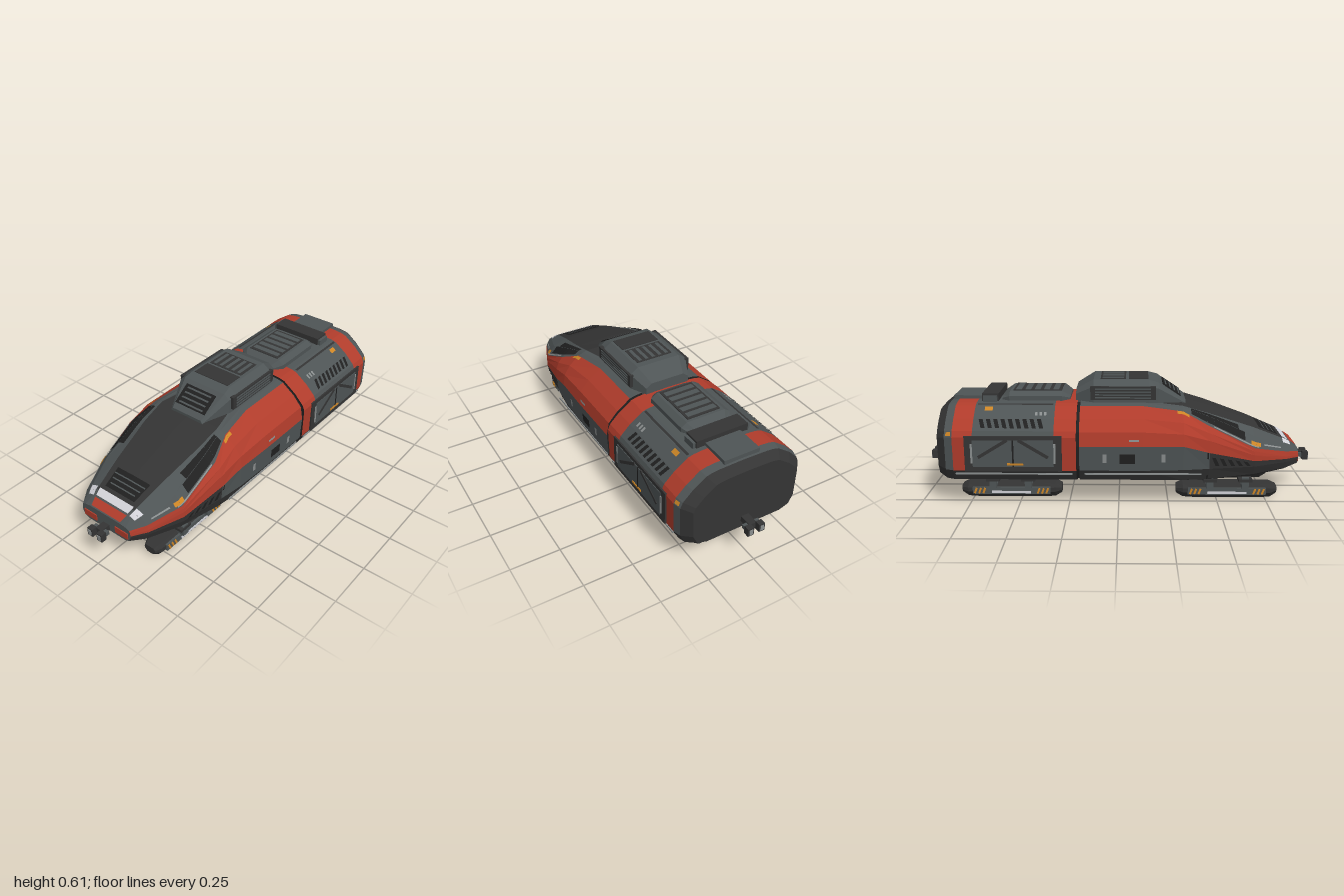
import * as THREE from 'three';

const mat = (name, color) => Object.assign(new THREE.MeshStandardMaterial({ color }), { name });
const M = {
  red: mat('signal red', 0xb03c2b), slate: mat('slate grey', 0x4e5455), coal: mat('charcoal', 0x343434),
  black: mat('black', 0x202020), steel: mat('light steel', 0x8a8e8e), white: mat('lamp white', 0xd2d2d8),
  amber: mat('amber', 0xcc8526),
};

// Adds a quad and its mirror image across x = 0
function quad(out, a, b, c, d) {
  const m = p => [-p[0], p[1], p[2]];
  out.push(...a, ...d, ...c, ...a, ...c, ...b);
  out.push(...m(a), ...m(c), ...m(d), ...m(a), ...m(b), ...m(c));
}
function facets(name, pos, material) {
  const g = new THREE.BufferGeometry();
  g.setAttribute('position', new THREE.Float32BufferAttribute(pos, 3));
  g.computeVertexNormals();
  const mesh = new THREE.Mesh(g, material);
  mesh.name = name;
  return mesh;
}
// Station = [z, half section from bottom centre to top centre], listed front to back
function loft(name, stations, colour, frontCap, rearCap) {
  const group = new THREE.Group(), bins = {};
  group.name = name;
  const bin = c => (bins[c] ??= []);
  const at = (i, j) => [...stations[i][1][j], stations[i][0]];
  const last = stations.length - 1, rows = stations[0][1].length - 1;
  for (let i = 0; i < last; i++)
    for (let j = 0; j < rows; j++) quad(bin(colour(i, j)), at(i, j), at(i, j + 1), at(i + 1, j + 1), at(i + 1, j));
  for (let j = 0; j < rows; j++) {
    const axis = (i, k) => [0, at(i, k)[1], at(i, k)[2]];
    quad(bin(frontCap), axis(0, j), axis(0, j + 1), at(0, j + 1), at(0, j));
    quad(bin(rearCap), at(last, j), at(last, j + 1), axis(last, j + 1), axis(last, j));
  }
  for (const c in bins) group.add(facets(`${name} ${M[c].name}`, bins[c], M[c]));
  return group;
}
// Thin painted plate that follows a lofted surface; v counts section rows
function surface(stations, z, v) {
  let i = 0;
  while (i < stations.length - 2 && z < stations[i + 1][0]) i++;
  const [z0, s0] = stations[i], [z1, s1] = stations[i + 1], t = (z0 - z) / (z0 - z1);
  const j = Math.min(Math.floor(v), s0.length - 2), f = v - j;
  const mix = k => THREE.MathUtils.lerp(
    THREE.MathUtils.lerp(s0[j][k], s0[j + 1][k], f), THREE.MathUtils.lerp(s1[j][k], s1[j + 1][k], f), t);
  return [mix(0), mix(1), z];
}
function plate(name, material, stations, z0, z1, v0, v1, lift = 0.004, shear = 0) {
  const out = [], n = Math.max(1, Math.ceil((z0 - z1) / 0.04));
  for (let k = 0; k < n; k++) {
    const za = z0 + (z1 - z0) * k / n, zb = z0 + (z1 - z0) * (k + 1) / n;
    const p = [[za, v0], [za + shear, v1], [zb + shear, v1], [zb, v0]]
      .map(([z, v]) => new THREE.Vector3(...surface(stations, z, v)));
    const normal = p[3].clone().sub(p[0]).cross(p[1].clone().sub(p[0])).setLength(lift);
    quad(out, ...p.map(q => (v => v.toArray())(q.add(normal))));
  }
  return facets(name, out, material);
}
function box(name, material, w, h, d, x, y, z, rx = 0) {
  const mesh = new THREE.Mesh(new THREE.BoxGeometry(w, h, d), material);
  mesh.name = name;
  mesh.position.set(x, y, z);
  mesh.rotation.x = rx;
  return mesh;
}

export function createModel() {
  const model = new THREE.Group();
  model.name = 'hoverTrain';
  const add = (...parts) => model.add(...parts);
  const pair = (name, material, w, h, d, x, y, z, rx = 0) =>
    [-1, 1].forEach(s => add(box(name, material, w, h, d, s * x, y, z, rx)));

  // Front car: floor, sill, red flank, shoulder, hood
  const main = [[0, .11], [.24, .11], [.3, .13], [.325, .185], [.333, .31], [.32, .38], [.27, .435], [.2, .485], [.17, .493], [.13, .497], [0, .5]];
  const front = [
    [.92, [[0, .165], [.12, .165], [.145, .175], [.155, .2], [.157, .21], [.156, .22], [.154, .23], [.15, .24], [.13, .248], [.1, .252], [0, .252]]],
    [.85, [[0, .145], [.15, .145], [.185, .16], [.2, .195], [.204, .212], [.203, .225], [.2, .237], [.197, .25], [.165, .28], [.12, .297], [0, .297]]],
    [.68, [[0, .122], [.2, .122], [.245, .145], [.265, .19], [.27, .22], [.27, .25], [.267, .27], [.263, .285], [.22, .335], [.145, .366], [0, .37]]],
    [.45, [[0, .113], [.235, .113], [.285, .132], [.305, .19], [.315, .275], [.31, .335], [.295, .37], [.27, .4], [.22, .435], [.175, .445], [0, .45]]],
    [.32, [[0, .11], [.24, .11], [.3, .13], [.32, .188], [.328, .31], [.318, .37], [.285, .42], [.228, .465], [.2, .478], [.18, .483], [0, .487]]],
    [.12, main], [-.195, main]];
  const frontColour = (i, j) => j === 0 ? 'black' : j < 3 ? 'coal' : j === 3 ? (i < 3 ? 'coal' : 'slate')
    : j < 7 ? 'red' : j < 9 || i === 0 ? 'slate' : 'coal';
  add(loft('frontHull', front, frontColour, 'slate', 'black'));

  // Rear car with red end bands and tapered tail
  const car = main.map(p => [...p]);
  car[3] = [.328, .185]; car[4] = [.333, .355]; car[5] = [.32, .385];
  const shrink = k => car.map(([x, y]) => [x * k, .27 + (y - .27) * k]);
  const rear = [[-.21, car], [-.32, car], [-.72, car], [-.82, car], [-.86, shrink(.97)], [-.905, shrink(.85)]];
  add(loft('rearHull', rear, (i, j) => j === 0 ? 'black' : j < 3 ? 'coal'
    : i === 0 || i === 2 ? 'red' : i > 3 ? 'coal' : 'slate', 'black', 'coal'));
  const inner = main.map(([x, y]) => [x * .975, .3 + (y - .3) * .96]);
  add(loft('carJoint', [[-.17, inner], [-.24, inner]], () => 'black', 'black', 'black'));

  // Hood, windows and lamps
  const f = (...a) => add(plate(a[0], a[1], front, ...a.slice(2)));
  f('lightBar', M.white, .872, .838, 9.1, 10);
  f('noseStripe', M.red, .915, .88, 9.08, 10);
  f('headlight', M.white, .876, .836, 8.1, 8.95);
  f('sideWindow', M.black, .63, .36, 7.25, 8.0);
  f('upperWindow', M.black, .6, .36, 8.0, 8.6);
  f('shoulderTrim', M.steel, .7, .47, 7.04, 7.16);
  f('noseTrim', M.steel, .82, .73, 7.3, 7.45);
  f('markerLamp', M.amber, .71, .66, 7.15, 7.5);
  f('roofMarker', M.amber, .35, .29, 6.7, 6.95);
  f('hoodFrame', M.black, .82, .72, 9.25, 10, .003);
  for (let i = 0; i < 3; i++) f('hoodSlat', M.slate, .8 - i * .025, .794 - i * .025, 9.38 - i * .05, 10, .006);
  for (let i = 0; i < 5; i++) f('cheekVent', M.black, .66 - i * .04, .64 - i * .04, 3.2, 3.75, .004, -.02);
  pair('nosePatch', M.red, .08, .034, .006, .1, .2, .922);

  // Sill lines and front car hatches
  pair('sillTrim', M.steel, .006, .008, .58, .32, .167, .12);
  pair('sillTrim', M.steel, .006, .008, .58, .323, .167, -.52);
  f('serviceHatch', M.black, .08, .005, 3.3, 3.7);
  for (const z of [.23, -.06]) f('latch', M.steel, z, z - .02, 3.35, 3.7);
  f('flankDash', M.steel, .1, .05, 4.35, 4.5);
  f('hatchSeam', M.black, .445, .437, 2, 4, .003);

  // Cargo doors with crossed struts
  pair('doorFrame', M.coal, .012, .18, .48, .332, .273, -.52);
  pair('doorPanel', M.slate, .008, .135, .4, .337, .275, -.52);
  pair('doorStrut', M.coal, .008, .016, .17, .34, .3, -.42, .55);
  pair('doorStrut', M.coal, .008, .016, .17, .34, .3, -.62, -.55);
  pair('doorSeam', M.black, .008, .135, .008, .339, .275, -.52);
  pair('doorSill', M.amber, .008, .01, .08, .341, .222, -.51);
  for (const z of [-.315, -.725]) pair('doorHandle', M.steel, .008, .1, .01, .338, .275, z);
  // Upper vents and markers of the rear car
  const r = (...a) => add(plate(a[0], a[1], rear, ...a.slice(2)));
  for (let i = 0; i < 9; i++) r('flankVent', M.black, -.37 - i * .036, -.39 - i * .036, 5.2, 5.95, .004, -.015);
  for (let i = 0; i < 3; i++) r('roofTick', M.steel, -.36 - i * .022, -.372 - i * .022, 6.2, 6.5);
  r('rearMarker', M.amber, -.63, -.67, 6.6, 6.9);
  r('tailMarker', M.amber, -.825, -.85, 4.2, 4.8);
  r('roofLine', M.coal, -.33, -.71, 7.1, 7.5);

  // Raised roof cabin
  const hump = (w, y1, w2, y2) => [[0, .46], [w, .46], [w, y1], [w2, y2], [0, y2]];
  add(loft('roofCabin', [[.34, hump(.1, .48, .09, .495)], [.2, hump(.155, .565, .125, .59)], [.15, hump(.16, .575, .118, .604)],
    [-.13, hump(.16, .575, .118, .604)], [-.22, hump(.12, .53, .09, .552)]], () => 'slate', 'slate', 'slate'));
  pair('cabinSideGrille', M.coal, .02, .068, .33, .16, .543, .02);
  for (let i = 0; i < 4; i++) pair('cabinSideSlat', M.slate, .006, .007, .28, .17, .52 + i * .015, .02);
  const tilt = Math.atan2(.095, .14);
  add(box('cabinFrontGrille', M.black, .185, .009, .11, 0, .545, .268, tilt));
  for (let i = 0; i < 4; i++) add(box('cabinFrontSlat', M.slate, .15, .006, .009, 0, .523 + i * .0152, .305 - i * .0224, tilt));
  add(box('cabinRoofPanel', M.coal, .21, .008, .1, 0, .603, .1));
  add(box('cabinRoofGrille', M.coal, .2, .006, .13, 0, .603, -.03));
  for (let i = 0; i < 5; i++) add(box('cabinRoofSlat', M.slate, .018, .006, .11, -.076 + i * .038, .605, -.03));

  // Rear roof unit, crossbar and spine
  add(loft('roofUnit', [[-.25, hump(.1, .505, .08, .515)], [-.29, hump(.135, .52, .105, .54)], [-.56, hump(.135, .52, .105, .54)],
    [-.6, hump(.11, .505, .085, .515)]], () => 'slate', 'slate', 'slate'));
  add(box('roofUnitGrille', M.coal, .18, .006, .25, 0, .541, -.42));
  for (let i = 0; i < 5; i++) add(box('roofUnitSlat', M.slate, .16, .006, .03, 0, .543, -.325 - i * .048));
  add(box('roofCrossbar', M.coal, .28, .06, .085, 0, .505, -.655));
  pair('crossbarEnd', M.slate, .02, .05, .07, .145, .5, -.655);
  add(box('roofSpine', M.slate, .19, .03, .15, 0, .5, -.775));

  // Couplers at both ends
  for (const s of [1, -1]) {
    add(box('couplerNeck', M.coal, .04, .03, .08, 0, .185, s * .93));
    add(box('couplerBar', M.slate, .085, .02, .02, 0, .185, s * .955));
    for (const x of [-.03, .03]) {
      add(box('couplerJaw', M.coal, .032, .042, .03, x, .183, s * .982));
      add(box('couplerFace', M.steel, .018, .028, .005, x, .183, s * .9975));
    }
  }

  // Four skids on hangers
  const ski = (w, y0, y1) => [[0, y0], [w * .55, y0], [w, y0 + (y1 - y0) * .4], [w, y0 + (y1 - y0) * .72], [w * .75, y1], [0, y1]];
  for (const side of [1, -1]) for (const z of [.553, -.553]) {
    const skid = new THREE.Group();
    skid.name = 'skid';
    skid.position.set(side * .16, 0, z);
    skid.add(loft('skidBody', [[.258, ski(.033, .022, .062)], [.225, ski(.05, .004, .074)], [.17, ski(.05, 0, .075)],
      [-.17, ski(.05, 0, .075)], [-.225, ski(.05, .004, .074)], [-.258, ski(.033, .022, .062)]], () => 'coal', 'coal', 'coal'));
    skid.add(box('skidPod', M.slate, .014, .036, .4, side * .052, .041, 0));
    skid.add(box('skidStrip', M.white, .006, .012, .2, side * .059, .034, 0));
    for (const end of [-1, 1]) {
      for (let i = 0; i < 3; i++) skid.add(box('skidChevron', M.amber, .006, .03, .01, side * .059, .041, end * (.14 + i * .022), .35));
      skid.add(box('skidArm', M.slate, .07, .014, .035, side * .045, .072, end * .09));
      skid.add(box('skidHanger', M.slate, .014, .06, .035, side * .074, .092, end * .09));
      skid.add(box('skidMount', M.coal, .06, .015, .07, side * .055, .107, end * .09));
    }
    add(skid);
  }
  return model;
}
